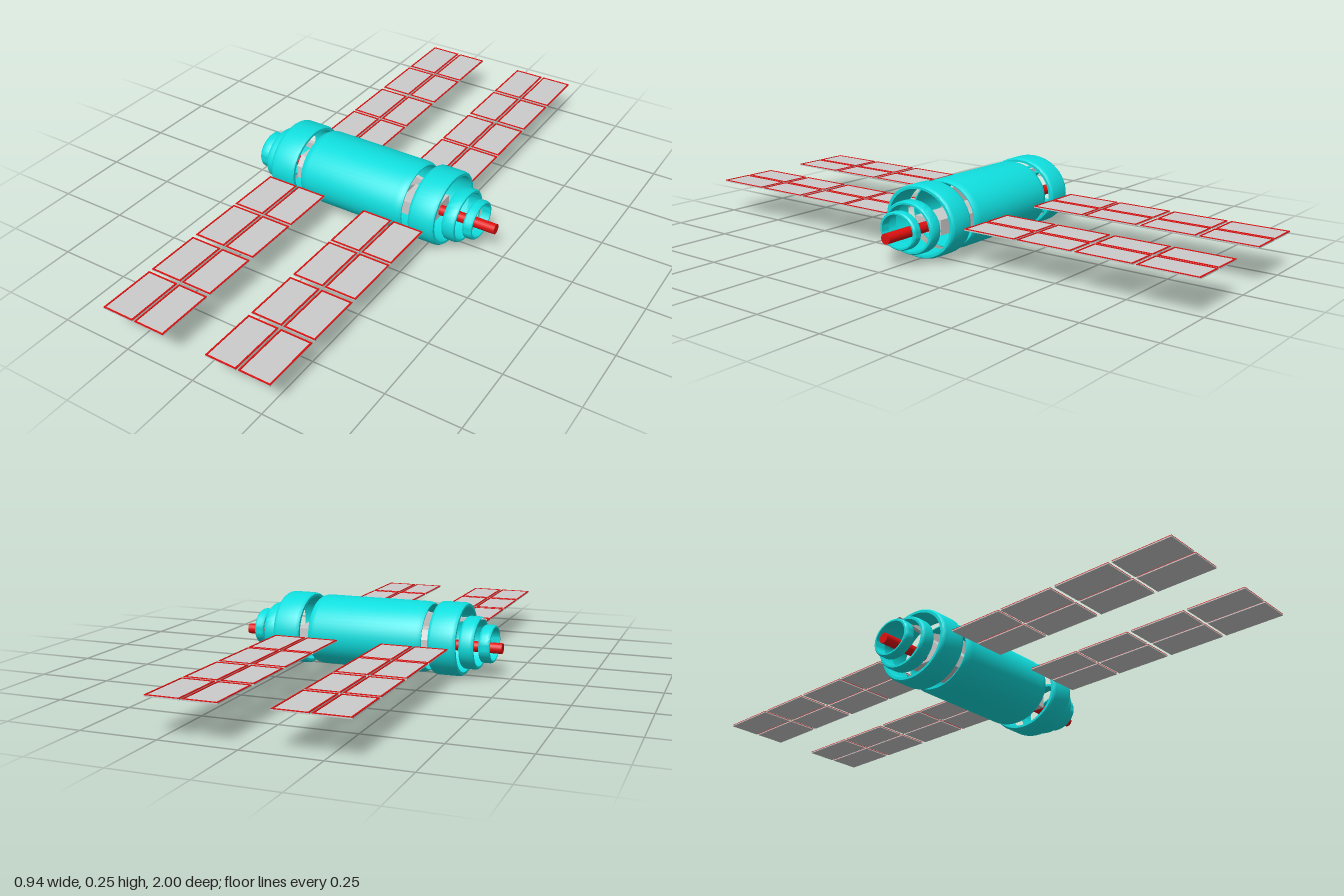
import * as THREE from 'three';
import { toCreasedNormals } from 'three/addons/utils/BufferGeometryUtils.js';

const grey = new THREE.MeshStandardMaterial({ color: 0xcccccc });
const teal = new THREE.MeshStandardMaterial({ color: 0x10dede });
const red = new THREE.MeshStandardMaterial({ color: 0xe01010 });

export function createModel() {
  const model = new THREE.Group();

  function add(name, geometry, material, x = 0, y = 0, z = 0, parent = model) {
    const mesh = new THREE.Mesh(geometry, material);
    mesh.name = name;
    mesh.position.set(x, y, z);
    parent.add(mesh);
    return mesh;
  }

  // Hollow oval shell along x: outer half height ry, half depth rz, wall in depth, chamfered rims
  function shell(name, x0, x1, cy, ry, rz, wall, bevelX, bevelR) {
    const h = (x1 - x0) / 2, inner = rz - wall;
    const profile = [
      [inner, -h], [rz - bevelR, -h], [rz - bevelR * 0.3, -h + bevelX * 0.4], [rz, -h + bevelX],
      [rz, h - bevelX], [rz - bevelR * 0.3, h - bevelX * 0.4], [rz - bevelR, h], [inner, h], [inner, -h],
    ].map(([r, y]) => new THREE.Vector2(r, y));
    const geometry = new THREE.LatheGeometry(profile, 48);
    geometry.rotateZ(-Math.PI / 2);
    geometry.scale(1, ry / rz, 1);
    add(name, toCreasedNormals(geometry, 0.7), teal, (x0 + x1) / 2, cy, 0);
  }

  // Main hull and the stepped rings at both ends
  shell('hull', -0.225, 0.18, 0.125, 0.12, 0.14, 0.012, 0.024, 0.008);
  shell('largeRingRight', -0.345, -0.25, 0.125, 0.124, 0.146, 0.016, 0.012, 0.006);
  shell('largeRingLeft', 0.212, 0.307, 0.125, 0.124, 0.146, 0.016, 0.012, 0.006);
  shell('middleRingRight', -0.395, -0.345, 0.116, 0.089, 0.105, 0.013, 0.01, 0.005);
  shell('middleRingLeft', 0.317, 0.363, 0.116, 0.089, 0.105, 0.013, 0.01, 0.005);
  shell('smallRingRight', -0.443, -0.405, 0.116, 0.064, 0.077, 0.011, 0.008, 0.005);
  shell('smallRingLeft', 0.38, 0.413, 0.116, 0.064, 0.077, 0.011, 0.008, 0.005);

  // Inner core with a sloped roof, extruded along x
  const section = new THREE.Shape([
    [-0.062, 0.078], [0.062, 0.078], [0.062, 0.125], [0.035, 0.155], [-0.035, 0.155], [-0.062, 0.125],
  ].map(([z, y]) => new THREE.Vector2(z, y)));
  const core = new THREE.ExtrudeGeometry(section, { depth: 0.42, bevelEnabled: false });
  core.rotateY(Math.PI / 2);
  add('core', core, grey, -0.29);
  add('coreExtension', new THREE.BoxGeometry(0.15, 0.052, 0.11), grey, 0.185, 0.105);

  // Thin fin on top of the core, pointed at both ends
  const finShape = new THREE.Shape([
    [-0.41, 0.2], [-0.3, 0.182], [-0.15, 0.15], [0.12, 0.15], [0.2, 0.2], [0.05, 0.232], [-0.15, 0.225], [-0.25, 0.2],
  ].map(([x, y]) => new THREE.Vector2(x, y)));
  const fin = new THREE.ExtrudeGeometry(finShape, { depth: 0.014, bevelEnabled: false });
  add('fin', fin, grey, 0, 0, -0.007);

  // Docking rods at both ends
  for (const [name, x0, x1] of [['rodRight', -0.47, -0.29], ['rodLeft', 0.26, 0.468]]) {
    const rod = new THREE.CylinderGeometry(0.018, 0.018, x1 - x0, 24);
    rod.rotateZ(Math.PI / 2);
    add(name, rod, red, (x0 + x1) / 2, 0.103, 0);
  }

  // Solar wings: four panels deep and two wide, each with a red rim on its upper face
  const columns = [[-0.33, -0.217], [-0.209, -0.1], [0.057, 0.166], [0.174, 0.285]];
  const rows = [[0.17, 0.366], [0.376, 0.572], [0.588, 0.784], [0.797, 0.998]];
  const rim = 0.005;
  for (const side of [-1, 1]) {
    for (const [x0, x1] of columns) {
      for (const [z0, z1] of rows) {
        const w = x1 - x0, d = z1 - z0;
        const panel = new THREE.Group();
        panel.name = 'solarPanel';
        panel.position.set((x0 + x1) / 2, 0.123, side * (z0 + z1) / 2 - 0.002);
        model.add(panel);
        add('cells', new THREE.BoxGeometry(w, 0.004, d), grey, 0, 0, 0, panel);
        for (const s of [-1, 1]) {
          add('rimSide', new THREE.BoxGeometry(rim, 0.002, d), red, s * (w - rim) / 2, 0.003, 0, panel);
          add('rimEnd', new THREE.BoxGeometry(w - 2 * rim, 0.002, rim), red, 0, 0.003, s * (d - rim) / 2, panel);
        }
      }
    }
  }
  return model;
}
